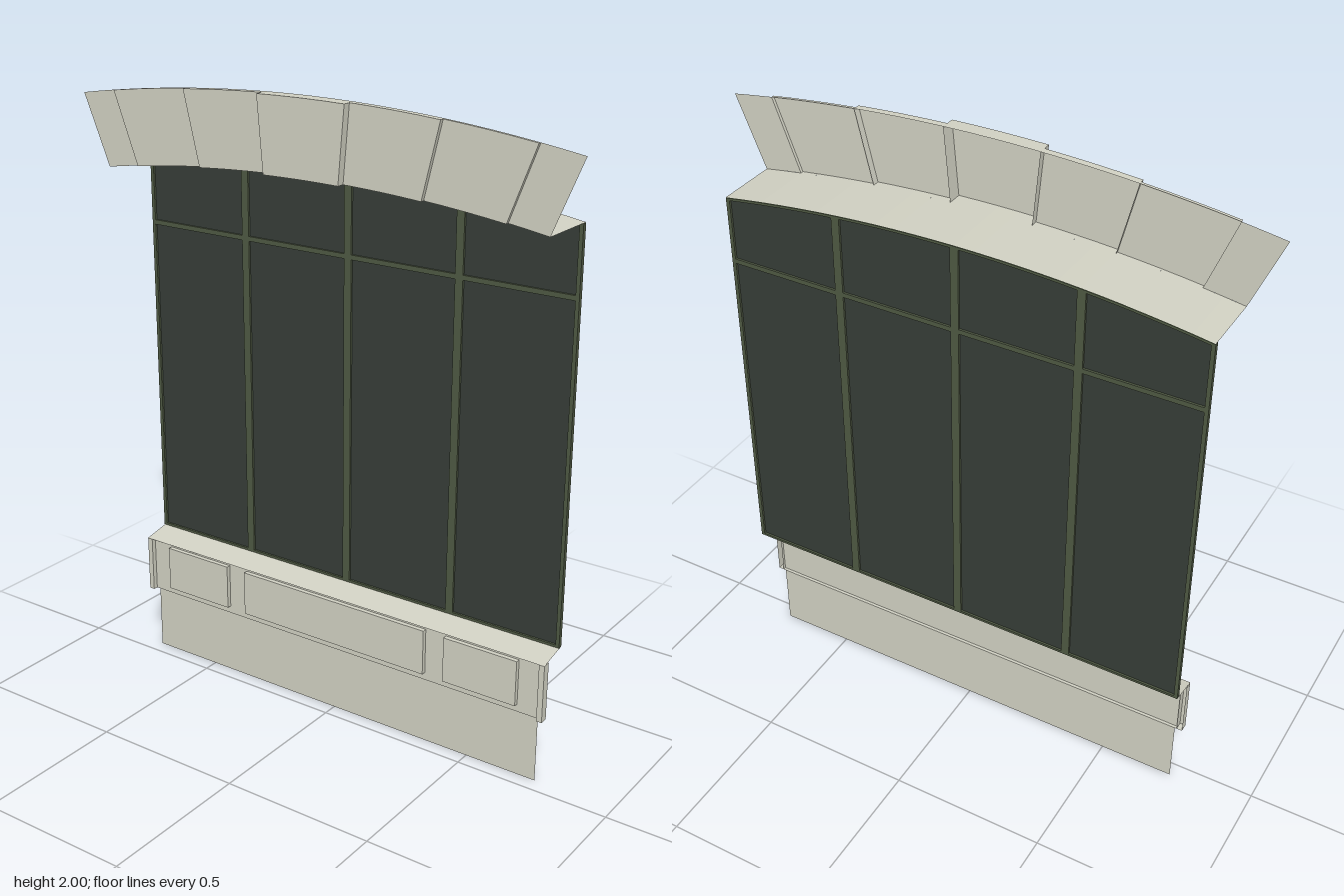
import * as THREE from 'three';

const mat = (name, color) =>
  new THREE.MeshStandardMaterial({ name, color, side: THREE.DoubleSide });

// Heights of the lower and upper arch curves at a given x
const lowArch = x => 1.772 - 0.062 * (x / 0.765) ** 2;
const topArch = x => 2.0 - 0.07 * (x / 0.857) ** 2;

// Points along a curve from x0 to x1
const curve = (f, x0, x1, n) =>
  Array.from({ length: n + 1 }, (_, i) => {
    const x = x0 + (x1 - x0) * i / n;
    return new THREE.Vector2(x, f(x));
  });

const rect = (x0, x1, y0, y1) =>
  [[x0, y0], [x1, y0], [x1, y1], [x0, y1]].map(p => new THREE.Vector2(...p));

// Sheet swept between two depths along a line of points
function strip(points, zBack, zFront) {
  const pos = [], idx = [];
  for (let i = 0; i < points.length - 1; i++) {
    const a = points[i], b = points[i + 1], k = pos.length / 3;
    pos.push(a.x, a.y, zBack, b.x, b.y, zBack, b.x, b.y, zFront, a.x, a.y, zFront);
    idx.push(k, k + 1, k + 2, k, k + 2, k + 3);
  }
  const g = new THREE.BufferGeometry();
  g.setAttribute('position', new THREE.Float32BufferAttribute(pos, 3));
  g.setIndex(idx);
  g.computeVertexNormals();
  return g;
}

export function createModel() {
  const model = new THREE.Group();
  const stone = mat('pale stone', 0xd0d0c2);
  const glassMat = mat('dark glass', 0x363d37);
  const frameMat = mat('green frame', 0x4e5842);

  const add = (parent, name, geometry, material) => {
    const m = new THREE.Mesh(geometry, material);
    m.name = name;
    parent.add(m);
    return m;
  };

  // Raised face with edge walls and an open back
  const shell = (name, outline, zBack, zFront) => {
    const g = new THREE.Group();
    g.name = name;
    add(g, name + 'Face', new THREE.ShapeGeometry(new THREE.Shape(outline)), stone).position.z = zFront;
    if (zFront > zBack) add(g, name + 'Edge', strip([...outline, outline[0]], zBack, zFront), stone);
    model.add(g);
  };

  // Arch stones, stepping forward towards the keystone
  const low = [-0.765, -0.64, -0.385, -0.13, 0.13, 0.385, 0.64, 0.765];
  const top = [-0.857, -0.725, -0.44, -0.15, 0.15, 0.44, 0.725, 0.857];
  const depth = [0.077, 0.087, 0.1, 0.125, 0.1, 0.087, 0.077];
  depth.forEach((z, i) => shell('archStone',
    [...curve(lowArch, low[i], low[i + 1], 4), ...curve(topArch, top[i + 1], top[i], 4)], 0.077, z));

  // Curved underside of the opening
  add(model, 'archSoffit', strip(curve(lowArch, 0.765, -0.765, 24), -0.125, 0.077), stone);

  // Window pane
  const pane = new THREE.Shape([
    new THREE.Vector2(-0.765, 0.43), new THREE.Vector2(0.765, 0.43),
    ...curve(lowArch, 0.765, -0.765, 24)]);
  add(model, 'windowGlass', new THREE.ShapeGeometry(pane), glassMat).position.z = -0.118;

  // Frame bars
  const bar = (name, x, y, w, h) =>
    add(model, name, new THREE.BoxGeometry(w, h, 0.014), frameMat).position.set(x, y, -0.118);
  for (const [x, w] of [[-0.759, 0.012], [-0.385, 0.026], [0, 0.026], [0.385, 0.026], [0.759, 0.012]]) {
    const h = lowArch(x) - 0.006 - 0.43;
    bar('verticalBar', x, 0.43 + h / 2, w, h);
  }
  bar('crossBar', 0, 1.5, 1.52, 0.015);
  bar('bottomBar', 0, 0.434, 1.53, 0.008);

  // Arched top edge of the frame
  const rim = new THREE.Shape([
    ...curve(x => lowArch(x) - 0.01, -0.765, 0.765, 24),
    ...curve(x => lowArch(x) - 0.002, 0.765, -0.765, 24)]);
  add(model, 'frameTop', new THREE.ExtrudeGeometry(rim, { depth: 0.014, bevelEnabled: false }), frameMat)
    .position.z = -0.125;

  // Sloping sill
  const sill = new THREE.PlaneGeometry(1.53, Math.hypot(0.1, 0.02));
  sill.rotateX(-Math.PI / 2 + Math.atan2(0.02, 0.1));
  add(model, 'sill', sill, stone).position.set(0, 0.42, -0.073);

  // Panelled apron with end posts
  shell('apron', rect(-0.747, 0.747, 0.22, 0.41), -0.05, -0.04);
  for (const s of [-1, 1]) {
    const xs = [s * 0.747, s * 0.765].sort((a, b) => a - b);
    shell('apronPost', rect(xs[0], xs[1], 0.22, 0.41), -0.05, -0.024);
  }
  for (const [x0, x1] of [[-0.673, -0.42], [-0.348, 0.348], [0.42, 0.673]])
    shell('raisedPanel', rect(x0, x1, 0.245, 0.395), -0.04, -0.025);

  // Plain wall below
  shell('baseWall', rect(-0.74, 0.74, 0, 0.22), -0.048, -0.048);

  return model;
}
